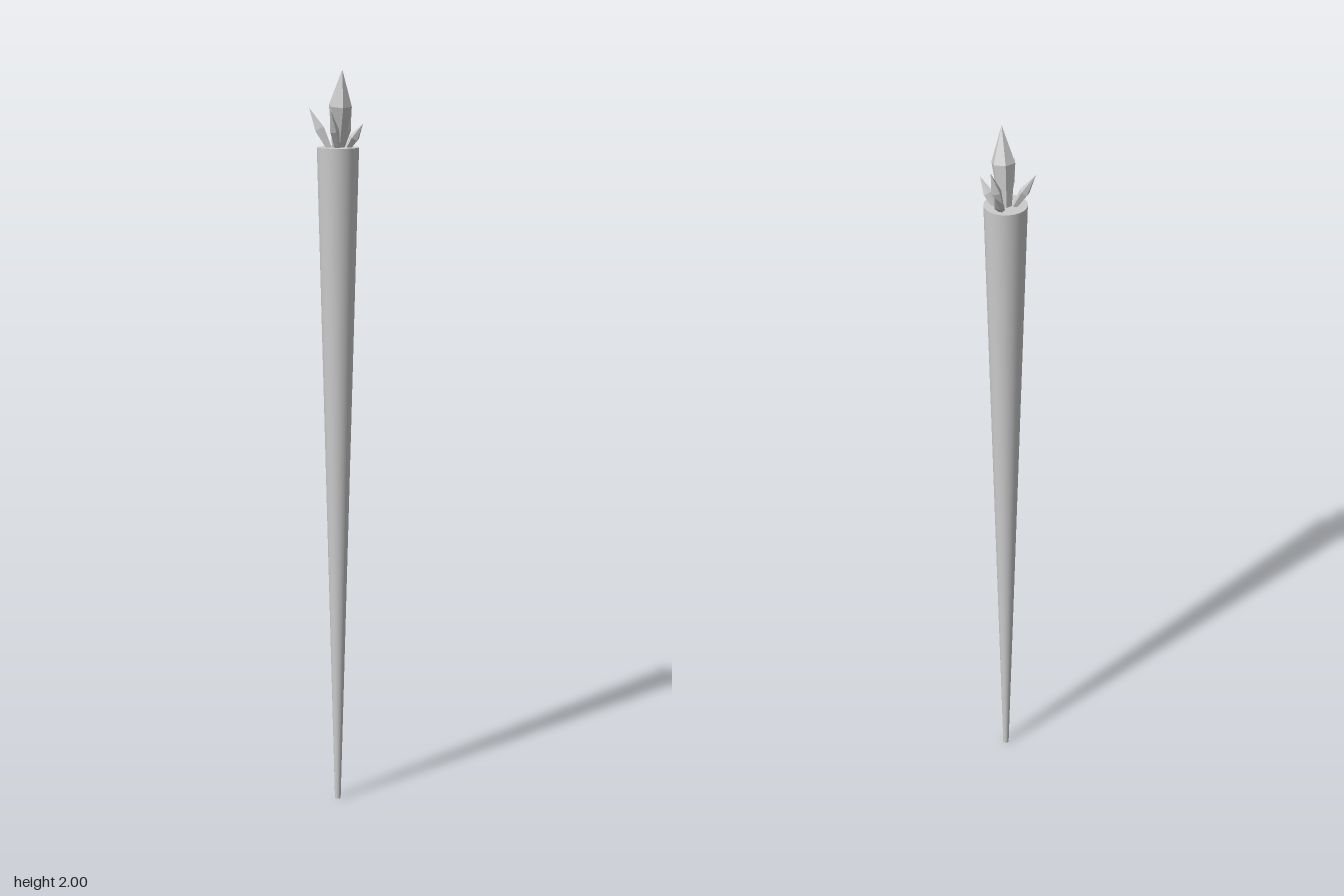
import * as THREE from 'three';

export function createModel() {
  const group = new THREE.Group();
  const smooth = new THREE.MeshStandardMaterial({ color: 0xcccccc });
  const faceted = new THREE.MeshStandardMaterial({ color: 0xcccccc, flatShading: true, side: THREE.DoubleSide });

  // Long tapering shaft, narrow at the foot, flat at the top
  const shaft = new THREE.Mesh(new THREE.CylinderGeometry(0.055, 0.008, 1.8, 32), smooth);
  shaft.name = 'shaft';
  shaft.position.set(0.005, 0.9, 0.006);
  group.add(shaft);

  // Pointed shard from base to tip: narrow root, wide waist, sharp point
  function addCrystal(name, base, tip, radius, waist, sides, spin) {
    const from = new THREE.Vector3(...base);
    const axis = new THREE.Vector3(...tip).sub(from);
    const length = axis.length();
    const profile = [[0, 0], [radius * 0.5, 0], [radius, waist * length], [0, length]]
      .map(([r, y]) => new THREE.Vector2(r, y));
    const mesh = new THREE.Mesh(new THREE.LatheGeometry(profile, sides, spin), faceted);
    mesh.name = name;
    mesh.position.copy(from);
    mesh.quaternion.setFromUnitVectors(new THREE.Vector3(0, 1, 0), axis.normalize());
    group.add(mesh);
  }

  // Tall central crystal
  addCrystal('mainCrystal', [0.005, 1.79, 0.004], [0.018, 2.0, 0.035], 0.031, 0.56, 6, 0.3);

  // Ring of small crystals leaning outward: base, tip
  const shards = [
    [[-0.014, 1.79, 0.006], [-0.072, 1.9, -0.02]],
    [[0.01, 1.79, -0.014], [0.023, 1.86, -0.076]],
    [[0.026, 1.79, -0.002], [0.071, 1.862, 0.029]],
    [[0.006, 1.79, 0.026], [-0.01, 1.9, 0.073]],
    [[0.012, 1.79, -0.008], [0.038, 1.9, -0.026]],
  ];
  shards.forEach(([base, tip], i) => addCrystal('smallCrystal' + (i + 1), base, tip, 0.013, 0.5, 5, i));

  return group;
}
